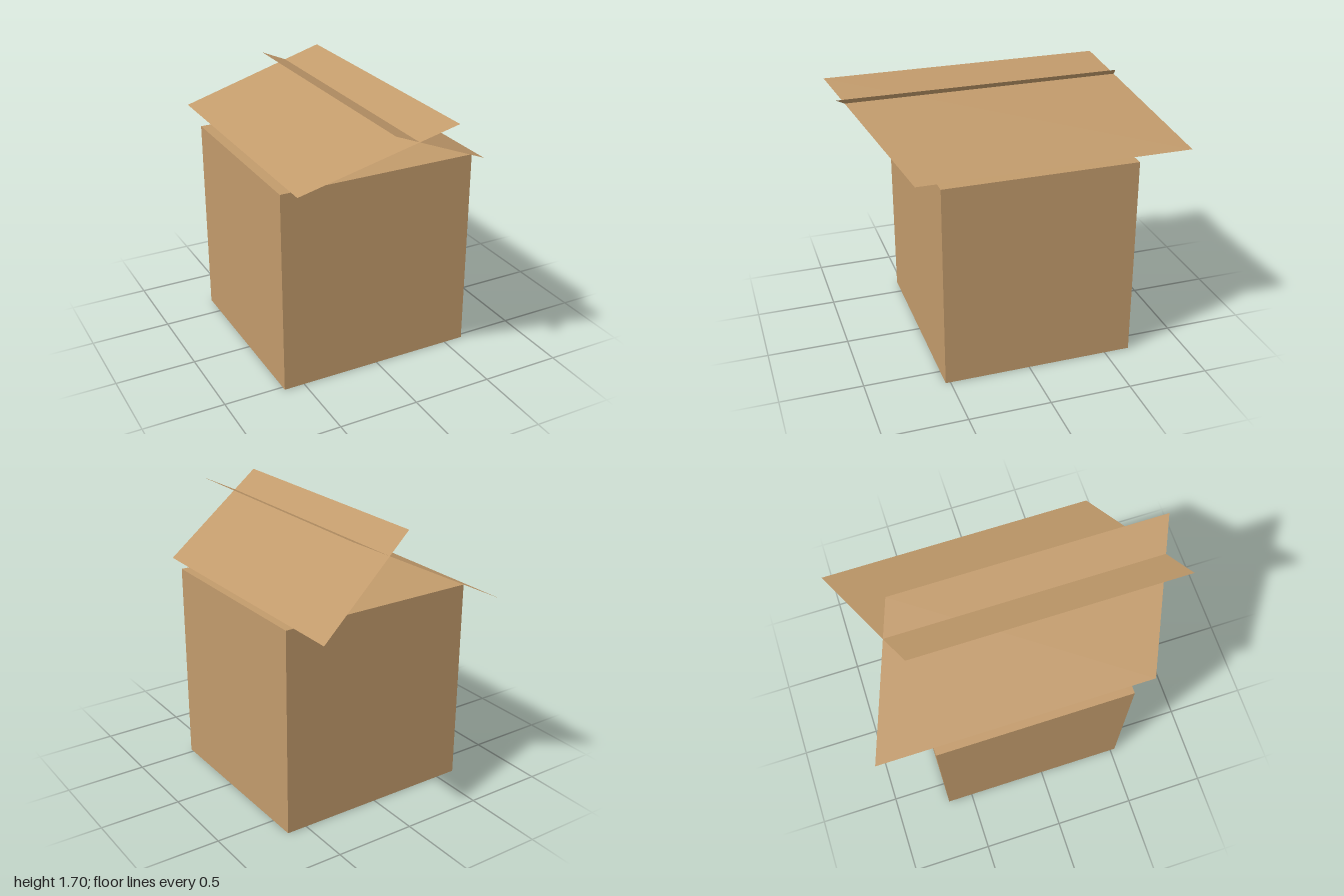
import * as THREE from 'three';

export function createModel() {
  const model = new THREE.Group();
  model.name = 'hut';
  const wood = new THREE.MeshStandardMaterial({ color: 0xc19a6b, side: THREE.DoubleSide });
  wood.name = 'wood';

  // Closed block of walls, set slightly to the back
  const walls = new THREE.Mesh(new THREE.BoxGeometry(1.255, 1.275, 1.19), wood);
  walls.name = 'walls';
  walls.position.set(-0.001, 0.6375, -0.065);
  model.add(walls);

  // Thin skewed roof sheet: eave edge at the low side, crossing over the ridge to the high side
  function roofPanel(name, eaveX, topX) {
    const geometry = new THREE.PlaneGeometry(1, 1);
    const p = geometry.attributes.position;
    const facesLeft = eaveX > topX;
    for (let i = 0; i < p.count; i++) {
      const t = facesLeft ? 0.5 - p.getX(i) : p.getX(i) + 0.5; // 0 at eave, 1 at top
      const z = -p.getY(i) * 1.67;
      p.setXYZ(i, eaveX + (topX - eaveX) * t, 1.305 + 0.39 * t, z - 0.165 + 0.328 * t);
    }
    geometry.computeVertexNormals();
    const panel = new THREE.Mesh(geometry, wood);
    panel.name = name;
    model.add(panel);
  }
  roofPanel('rightRoofPanel', -0.59, 0.205);
  roofPanel('leftRoofPanel', 0.615, -0.185);

  return model;
}
